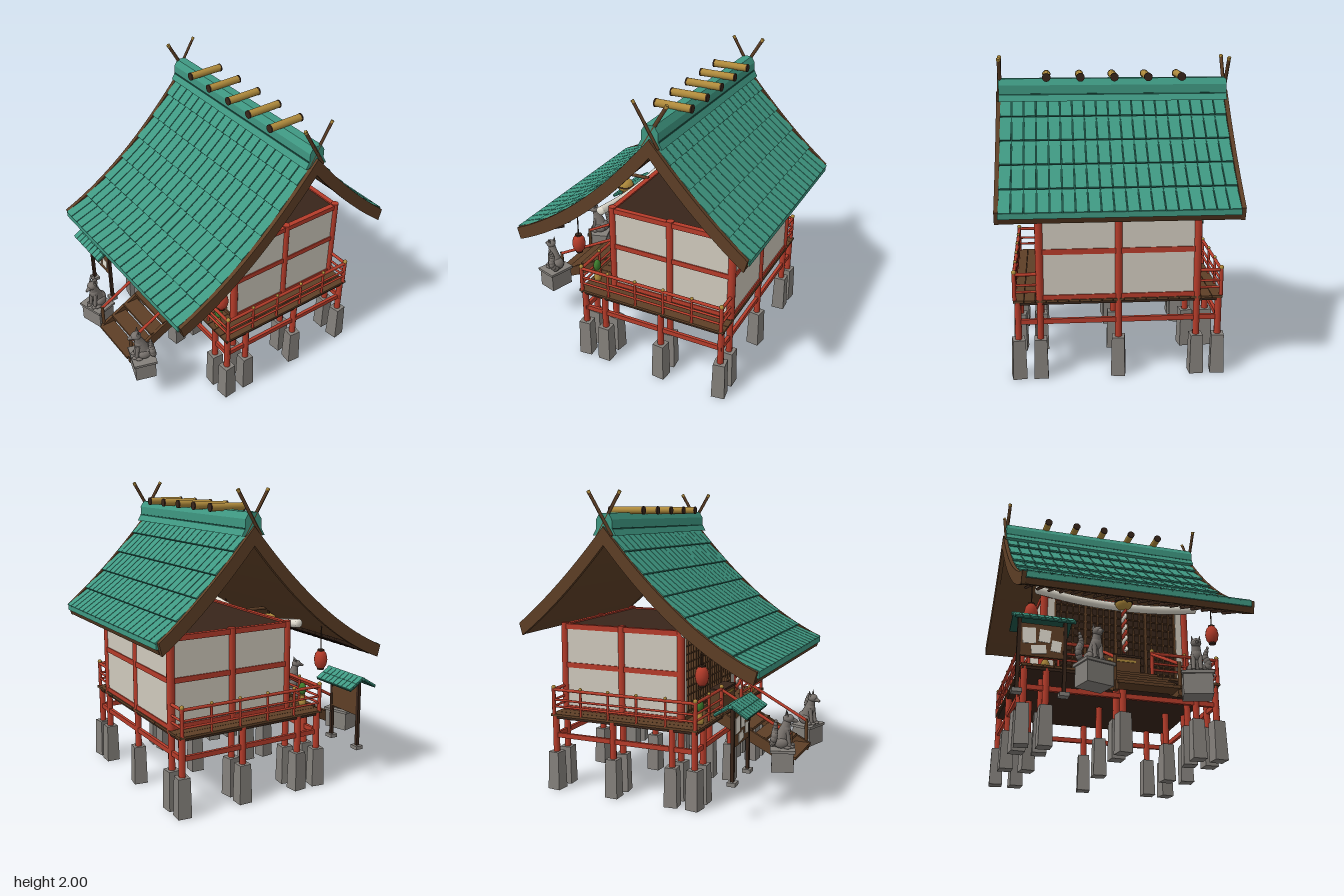
import * as THREE from 'three';
import { mergeGeometries } from 'three/addons/utils/BufferGeometryUtils.js';

const TEAL = 0x3f9882, DKTEAL = 0x1d5548, BROWN = 0x5e3f26, DARK = 0x38251a, RED = 0xb63c2a, GOLD = 0xb08b3c,
  STONE = 0x84807b, FOX = 0x78726d, WHITE = 0xcfc9bc, PAPER = 0xe4dfd2, GREEN = 0x3c7a2c;
const CX = 0.015; // centre line of the building
const mats = {};
const mat = (c) => (mats[c] ??= new THREE.MeshStandardMaterial({ color: c, side: THREE.DoubleSide }));
const V = (x, y, z) => new THREE.Vector3(x, y, z);

function add(parent, name, geo, color, x = 0, y = 0, z = 0) {
  const m = new THREE.Mesh(geo, mat(color));
  m.name = name;
  m.position.set(x, y, z);
  parent.add(m);
  return m;
}
const box = (p, name, color, w, h, d, x, y, z) => add(p, name, new THREE.BoxGeometry(w, h, d), color, x, y, z);
const ball = (p, name, color, r, x, y, z, sx = 1, sy = 1, sz = 1) => {
  const m = add(p, name, new THREE.SphereGeometry(r, 16, 12), color, x, y, z);
  m.scale.set(sx, sy, sz);
  return m;
};
// round bar between two points
function bar(p, name, color, a, b, r, r2 = r, sides = 10) {
  const d = b.clone().sub(a);
  const m = add(p, name, new THREE.CylinderGeometry(r2, r, d.length(), sides), color);
  m.position.copy(a).addScaledVector(d, 0.5);
  m.quaternion.setFromUnitVectors(V(0, 1, 0), d.normalize());
  return m;
}
// extrude a list of [z, y] points along x
function sideExtrude(p, name, color, pts, x0, depth) {
  const s = new THREE.Shape(pts.map(([z, y]) => new THREE.Vector2(-z, y)));
  const g = new THREE.ExtrudeGeometry(s, { depth, bevelEnabled: false });
  return add(p, name, g.rotateY(Math.PI / 2), color, x0);
}
function group(parent, name, x = 0, y = 0, z = 0) {
  const g = new THREE.Group();
  g.name = name;
  g.position.set(x, y, z);
  parent.add(g);
  return g;
}

// roof slopes as curves of (z, y)
const slope = (cz, cy, ez, ey) => new THREE.QuadraticBezierCurve(
  new THREE.Vector2(-0.245, 1.76), new THREE.Vector2(cz, cy), new THREE.Vector2(ez, ey));
const FRONT = slope(0.26, 1.145, 0.765, 0.925), BACK = slope(-0.57, 1.375, -0.885, 1.125);

function band(lift, tRidge, tEave) {
  const f = FRONT.getPoints(20), b = BACK.getPoints(14);
  const run = (l, under) => l.map((q, i) => [q.x - (under ? Math.sign(q.x + 0.245) * 0.022 * i / (l.length - 1) : 0),
    q.y + lift - (under ? tRidge + (tEave - tRidge) * i / (l.length - 1) : 0)]);
  return [...run(b).reverse(), ...run(f).slice(1), ...run(f, true).reverse(), ...run(b, true).slice(1)];
}

function buildRoof(root) {
  const roof = group(root, 'roof');
  sideExtrude(roof, 'roofUnderside', BROWN, band(-0.016, 0.06, 0.045), -0.71, 1.455);
  sideExtrude(roof, 'roofBase', DKTEAL, band(-0.004, 0.012, 0.012), -0.71, 1.455);
  for (const x of [-0.737, 0.74]) sideExtrude(roof, 'bargeboard', BROWN, band(0.016, 0.115, 0.08), x, 0.027);

  // overlapping tile courses
  const tiles = [], cols = 19, w = 1.455 / cols;
  for (const [curve, rows] of [[FRONT, 7], [BACK, 5]]) {
    const pts = curve.getSpacedPoints(rows);
    for (let r = 0; r < rows; r++) {
      const a = pts[r], b = pts[r + 1], d = b.clone().sub(a), len = d.length();
      const n = new THREE.Vector2(-d.y, d.x).multiplyScalar(Math.sign(d.x) / len);
      const sag = n.clone().multiplyScalar(-0.006);
      const p = a.clone().add(sag), q = b.clone().addScaledVector(n, 0.014);
      const t = q.clone().sub(p);
      for (let c = 0; c < cols; c++) {
        const g = new THREE.BoxGeometry(w - 0.007, 0.012, t.length());
        g.rotateX(-Math.atan2(t.y, t.x));
        g.translate(-0.71 + (c + 0.5) * w, (p.y + q.y) / 2, (p.x + q.x) / 2);
        tiles.push(g);
      }
    }
    const e = curve.getPoint(1), s = Math.sign(e.x);
    box(roof, 'eaveTrim', TEAL, 1.455, 0.035, 0.014, CX + 0.002, e.y - 0.008, e.x - s * 0.002);
  }
  add(roof, 'roofTiles', mergeGeometries(tiles), TEAL);

  // rafters under the front eave
  for (let i = 0; i < 19; i++) {
    const x = -0.66 + i * 0.075;
    bar(roof, 'rafter', DARK, V(x, 1.0, 0.44), V(x, 0.876, 0.735), 0.011, 0.011, 4);
  }

  // ridge with logs and crossed finials
  const cap = [[-0.08, 1.72], [-0.055, 1.765], [-0.055, 1.82], [-0.03, 1.86], [0.03, 1.86], [0.055, 1.82], [0.055, 1.765], [0.08, 1.72]];
  sideExtrude(roof, 'ridgeCap', TEAL, cap.map(([z, y]) => [z - 0.245, y]), -0.72, 1.47);
  box(roof, 'ridgeBand', DKTEAL, 1.46, 0.01, 0.12, CX, 1.762, -0.245);
  for (let i = -2; i <= 2; i++) {
    const x = CX + i * 0.215;
    bar(roof, 'ridgeLog', GOLD, V(x, 1.875, -0.368), V(x, 1.875, -0.122), 0.025, 0.025, 14);
    for (const s of [-1, 1])
      bar(roof, 'logEnd', DARK, V(x, 1.875, -0.245 + s * 0.117), V(x, 1.875, -0.245 + s * 0.126), 0.027, 0.027, 14);
  }
  for (const x of [-0.715, 0.745]) for (const s of [-1, 1]) {
    const at = (k) => V(x + s * 0.004, 1.72 + 0.275 * k, -0.245 + s * (-0.055 + 0.165 * k));
    bar(roof, 'finial', BROWN, at(0), at(0.94), 0.012, 0.012, 4);
    bar(roof, 'finialTip', GOLD, at(0.94), at(1), 0.013, 0.013, 4);
  }
}

const PX = [-0.64, -0.5, 0, 0.495, 0.635].map((x) => x + CX), PZ = [0.325, 0.17, -0.255, -0.69];

function buildBase(root) {
  const base = group(root, 'base');
  PX.forEach((x, i) => PZ.forEach((z, j) => {
    const g = new THREE.CylinderGeometry(0.056, 0.064, 0.26, 4).rotateY(Math.PI / 4).toNonIndexed();
    g.computeVertexNormals();
    add(base, 'foundationStone', g, STONE, x, 0.13, z).rotation.y = ((i * 3 + j * 5) % 7 - 3) * 0.05;
    bar(base, 'stilt', RED, V(x, 0.25, z), V(x, 0.51, z), 0.022);
  }));
  for (const x of [PX[0], PX[4]]) box(base, 'tieBeam', RED, 0.022, 0.032, 1.05, x, 0.375, -0.183);
  for (const z of [PZ[0], PZ[3]]) box(base, 'tieBeam', RED, 1.31, 0.032, 0.022, CX, 0.375, z);
  box(base, 'deckFrame', DARK, 1.31, 0.018, 1.05, CX, 0.499, -0.18);
  for (let i = 0; i < 19; i++) box(base, 'deckPlank', BROWN, 0.067, 0.016, 1.07, CX - 0.63 + i * 0.07, 0.515, -0.18);
}

function buildHouse(root) {
  const h = group(root, 'house');
  for (const x of [PX[1], PX[2], PX[3]]) for (const z of [PZ[1], PZ[2], PZ[3]])
    if (x !== PX[2] || z === PZ[3]) bar(h, 'column', RED, V(x, 0.5, z), V(x, 1.125, z), 0.026, 0.026, 12);
  for (const x of [PX[1], PX[3]]) box(h, 'sideWall', WHITE, 0.02, 0.58, 0.86, x, 0.82, -0.26);
  box(h, 'backWall', WHITE, 0.99, 0.58, 0.02, CX, 0.82, -0.69);
  for (const y of [0.535, 0.835, 1.1]) {
    for (const x of [PX[1], PX[3]]) box(h, 'sideBeam', RED, 0.035, 0.035, 0.86, x, y, -0.26);
    box(h, 'backBeam', RED, 0.995, 0.035, 0.035, CX, y, -0.69);
  }
  box(h, 'ceiling', DARK, 0.98, 0.015, 0.85, CX, 1.1, -0.26);
  // front: lattice doors between plaster strips
  for (const s of [-1, 1]) box(h, 'frontPlaster', WHITE, 0.05, 0.57, 0.03, CX + s * 0.455, 0.81, 0.165);
  box(h, 'frontHeader', RED, 0.99, 0.035, 0.035, CX, 1.1, 0.17);
  box(h, 'frontSill', BROWN, 0.95, 0.025, 0.04, CX, 0.535, 0.17);
  box(h, 'doorPanel', DARK, 0.86, 0.57, 0.02, CX, 0.81, 0.15);
  for (let i = 0; i <= 20; i++) box(h, 'latticeBar', BROWN, i % 5 ? 0.009 : 0.02, 0.56, 0.014, CX - 0.425 + i * 0.0425, 0.81, 0.166);
  for (let i = 0; i < 10; i++) box(h, 'latticeRail', BROWN, 0.86, 0.007, 0.01, CX, 0.56 + i * 0.055, 0.165);
}

function buildRailings(root) {
  const r = group(root, 'railings');
  for (const s of [-1, 1]) {
    const ox = CX + s * 0.655, ix = CX + s * 0.198, z0 = 0.335, z1 = -0.695;
    const run = (a, b, n) => {
      for (const y of [0.575, 0.62, 0.69]) bar(r, 'rail', RED, V(a.x, y, a.z), V(b.x, y, b.z), y > 0.68 ? 0.011 : 0.008);
      for (let i = 0; i <= n; i++) {
        const p = a.clone().lerp(b, i / n), end = i === 0 || i === n;
        bar(r, 'railPost', RED, V(p.x, 0.52, p.z), V(p.x, 0.7, p.z), end ? 0.013 : 0.009);
        ball(r, 'postCap', GOLD, end ? 0.015 : 0.011, p.x, 0.705, p.z);
      }
    };
    run(V(ox, 0, z0), V(ox, 0, z1), 5);
    run(V(ox, 0, z0), V(ix, 0, z0), 2);
    run(V(ox, 0, z1), V(CX + s * 0.5, 0, z1), 1);
    bar(r, 'stairRail', RED, V(ix, 0.685, z0), V(ix, 0.425, 0.82), 0.011);
    bar(r, 'stairPost', BROWN, V(ix, 0.22, 0.82), V(ix, 0.435, 0.82), 0.012);
  }
}

function buildStairs(root) {
  const st = group(root, 'stairs');
  for (const s of [-1, 1])
    sideExtrude(st, 'stringer', BROWN, [[0.22, 0.53], [0.35, 0.525], [0.84, 0.275], [0.84, 0.22], [0.8, 0.22], [0.22, 0.5]], CX + s * 0.19 - 0.011, 0.022);
  for (let i = 0; i < 5; i++) box(st, 'tread', BROWN, 0.38, 0.018, 0.11, CX, 0.485 - i * 0.055, 0.4 + i * 0.1);
}

// seated fox on a stone block, facing +z
function buildFox(root, s) {
  const f = group(root, 'foxStatue', CX + s * 0.315, 0, 0.8);
  f.rotation.y = -s * 0.3;
  box(f, 'pedestal', STONE, 0.175, 0.125, 0.14, 0, 0.295, 0);
  box(f, 'pedestalSlab', STONE, 0.195, 0.018, 0.16, 0, 0.367, 0);
  ball(f, 'rump', FOX, 0.05, 0, 0.42, -0.025, 0.95, 0.95, 1);
  bar(f, 'torso', FOX, V(0, 0.42, -0.015), V(0, 0.53, 0.022), 0.047, 0.026, 14);
  ball(f, 'chest', FOX, 0.036, 0, 0.49, 0.018, 0.95, 1.2, 0.9);
  bar(f, 'neck', FOX, V(0, 0.51, 0.018), V(0, 0.56, 0.03), 0.03, 0.024, 12);
  ball(f, 'head', FOX, 0.032, 0, 0.565, 0.035, 1, 0.9, 1.1);
  bar(f, 'snout', FOX, V(0, 0.56, 0.05), V(0, 0.548, 0.092), 0.021, 0.008, 10);
  for (const e of [-1, 1]) {
    bar(f, 'ear', FOX, V(e * 0.019, 0.575, 0.025), V(e * 0.025, 0.618, 0.022), 0.013, 0.001, 6);
    bar(f, 'frontLeg', FOX, V(e * 0.022, 0.375, 0.047), V(e * 0.02, 0.49, 0.028), 0.012, 0.015, 8);
    ball(f, 'frontPaw', FOX, 0.015, e * 0.022, 0.384, 0.055, 1, 0.7, 1.4);
    ball(f, 'haunch', FOX, 0.033, e * 0.036, 0.41, -0.01, 0.7, 1, 1.3);
    ball(f, 'hindPaw', FOX, 0.014, e * 0.042, 0.383, 0.03, 1, 0.7, 1.8);
  }
  const tail = new THREE.CatmullRomCurve3([V(0, 0.4, -0.055), V(s * 0.05, 0.41, -0.065), V(s * 0.075, 0.46, -0.055), V(s * 0.06, 0.51, -0.05), V(s * 0.075, 0.565, -0.045)]);
  for (let i = 0; i < 12; i++) {
    const p = tail.getPoint(i / 11);
    ball(f, 'tail', FOX, 0.007 + 0.015 * Math.sin(Math.PI * (i + 0.5) / 12), p.x, p.y, p.z, 1, 1.25, 1);
  }
}

function buildNoticeBoard(root) {
  const b = group(root, 'noticeBoard', -0.573, 0, 0.61);
  for (const s of [-1, 1]) {
    box(b, 'boardPost', DARK, 0.022, 0.47, 0.022, s * 0.14, 0.465, 0);
    box(b, 'boardFoot', STONE, 0.06, 0.025, 0.055, s * 0.14, 0.237, 0);
    const slab = box(b, 'boardRoof', DKTEAL, 0.365, 0.012, 0.125, 0, 0.69, s * 0.053);
    slab.rotation.x = s * 0.55;
    for (let i = 0; i < 8; i++) for (let j = 0; j < 2; j++)
      box(slab, 'boardTile', TEAL, 0.042, 0.01, 0.06, -0.161 + i * 0.046, 0.009, -0.031 + j * 0.062);
  }
  bar(b, 'boardRidge', TEAL, V(-0.19, 0.725, 0), V(0.19, 0.725, 0), 0.012);
  box(b, 'boardPanel', BROWN, 0.29, 0.21, 0.016, 0, 0.565, 0);
  for (const [x, y, w, h, a] of [[-0.08, 0.59, 0.08, 0.1, 0.06], [0.015, 0.595, 0.07, 0.08, -0.08], [-0.02, 0.505, 0.09, 0.055, 0.12], [0.085, 0.535, 0.06, 0.07, -0.12]])
    box(b, 'paperNotice', PAPER, w, h, 0.003, x, y, 0.011).rotation.z = a;
}

function buildFurnishings(root) {
  const g = group(root, 'furnishings');
  // offering box
  box(g, 'offeringBox', BROWN, 0.25, 0.13, 0.085, CX, 0.59, 0.27);
  box(g, 'offeringBoxLid', DARK, 0.265, 0.014, 0.1, CX, 0.66, 0.27);
  box(g, 'offeringBoxPlate', GOLD, 0.19, 0.014, 0.006, CX, 0.625, 0.314);
  // bell with a two-coloured twisted pull rope
  bar(g, 'bellBracket', BROWN, V(CX, 1.115, 0.17), V(CX, 1.115, 0.37), 0.012);
  bar(g, 'bellHanger', DARK, V(CX, 1.06, 0.36), V(CX, 1.115, 0.36), 0.008);
  ball(g, 'bell', GOLD, 0.058, CX, 1.02, 0.36, 1, 0.9, 1);
  bar(g, 'bellBand', DARK, V(CX, 1.014, 0.36), V(CX, 1.024, 0.36), 0.061, 0.061, 20);
  [RED, PAPER].forEach((c, k) => {
    const pts = Array.from({ length: 41 }, (_, i) => {
      const a = i * 0.6 + k * Math.PI;
      return V(CX + 0.011 * Math.cos(a), 0.97 - i * 0.0078, 0.362 + i * 0.0006 + 0.011 * Math.sin(a));
    });
    add(g, 'pullRope', new THREE.TubeGeometry(new THREE.CatmullRomCurve3(pts), 100, 0.011, 6), c);
  });
  // straw rope across the front
  const straw = new THREE.CatmullRomCurve3([-0.56, -0.28, 0, 0.28, 0.56].map((x) => V(CX + x, 1.06 + 0.16 * x * x, 0.222)));
  add(g, 'strawRope', new THREE.TubeGeometry(straw, 40, 0.029, 10), PAPER);
  for (const s of [-1, 1]) {
    ball(g, 'strawRopeEnd', PAPER, 0.029, CX + s * 0.56, 1.11, 0.222, 0.5);
    // hanging lantern
    const lx = CX + s * 0.62;
    const prof = [[0, 0.8], [0.022, 0.802], [0.038, 0.825], [0.045, 0.862], [0.038, 0.9], [0.022, 0.922], [0, 0.924]];
    add(g, 'lantern', new THREE.LatheGeometry(prof.map(([r, y]) => new THREE.Vector2(r, y)), 16), RED, lx, 0, 0.365);
    for (const y of [0.8, 0.924]) bar(g, 'lanternRing', DARK, V(lx, y - 0.006, 0.365), V(lx, y + 0.006, 0.365), 0.023);
    bar(g, 'lanternCord', DARK, V(lx, 0.92, 0.365), V(lx, 1.09, 0.365), 0.004);
    // offering vase with greenery
    const vx = CX + s * 0.505, vase = [[0, 0.522], [0.022, 0.522], [0.028, 0.55], [0.014, 0.58], [0.02, 0.6]];
    add(g, 'vase', new THREE.LatheGeometry(vase.map(([r, y]) => new THREE.Vector2(r, y)), 14), GOLD, vx, 0, 0.305);
    ball(g, 'greenery', GREEN, 0.03, vx, 0.64, 0.305, 1, 1.4, 0.8);
  }
}

export function createModel() {
  const root = new THREE.Group();
  root.name = 'shrine';
  buildRoof(root);
  buildBase(root);
  buildHouse(root);
  buildRailings(root);
  buildStairs(root);
  for (const s of [-1, 1]) buildFox(root, s);
  buildNoticeBoard(root);
  buildFurnishings(root);
  return root;
}
